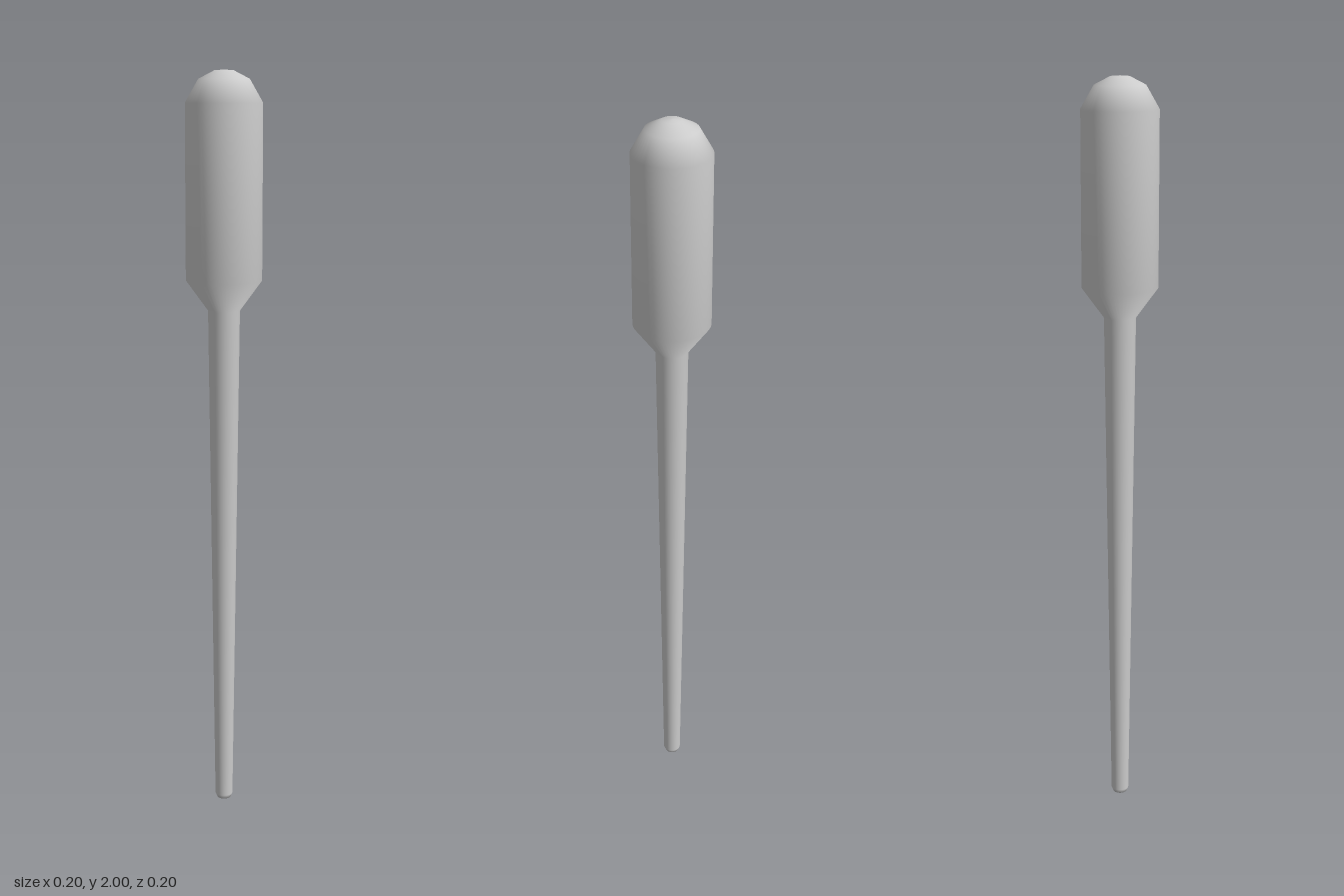
import * as THREE from 'three';

export function createModel() {
  const group = new THREE.Group();
  group.name = 'pipette';
  const material = new THREE.MeshStandardMaterial({ color: 0xcccccc });

  // Radius and height, from the tip up to the crown of the bulb
  const profile = [
    [0, 0], [0.019, 0], [0.024, 0.012],                   // rounded tip
    [0.042, 1.385],                                       // tapering stem
    [0.1, 1.465], [0.1, 1.918],                           // shoulder and bulb wall
    [0.066, 1.977], [0.025, 1.998], [0, 2],               // domed crown
  ].map(([r, y]) => new THREE.Vector2(r, y));

  // One continuous smooth skin: stem and squeeze bulb are moulded together
  const body = new THREE.Mesh(new THREE.LatheGeometry(profile, 48), material);
  body.name = 'stemAndBulb';
  group.add(body);

  return group;
}
